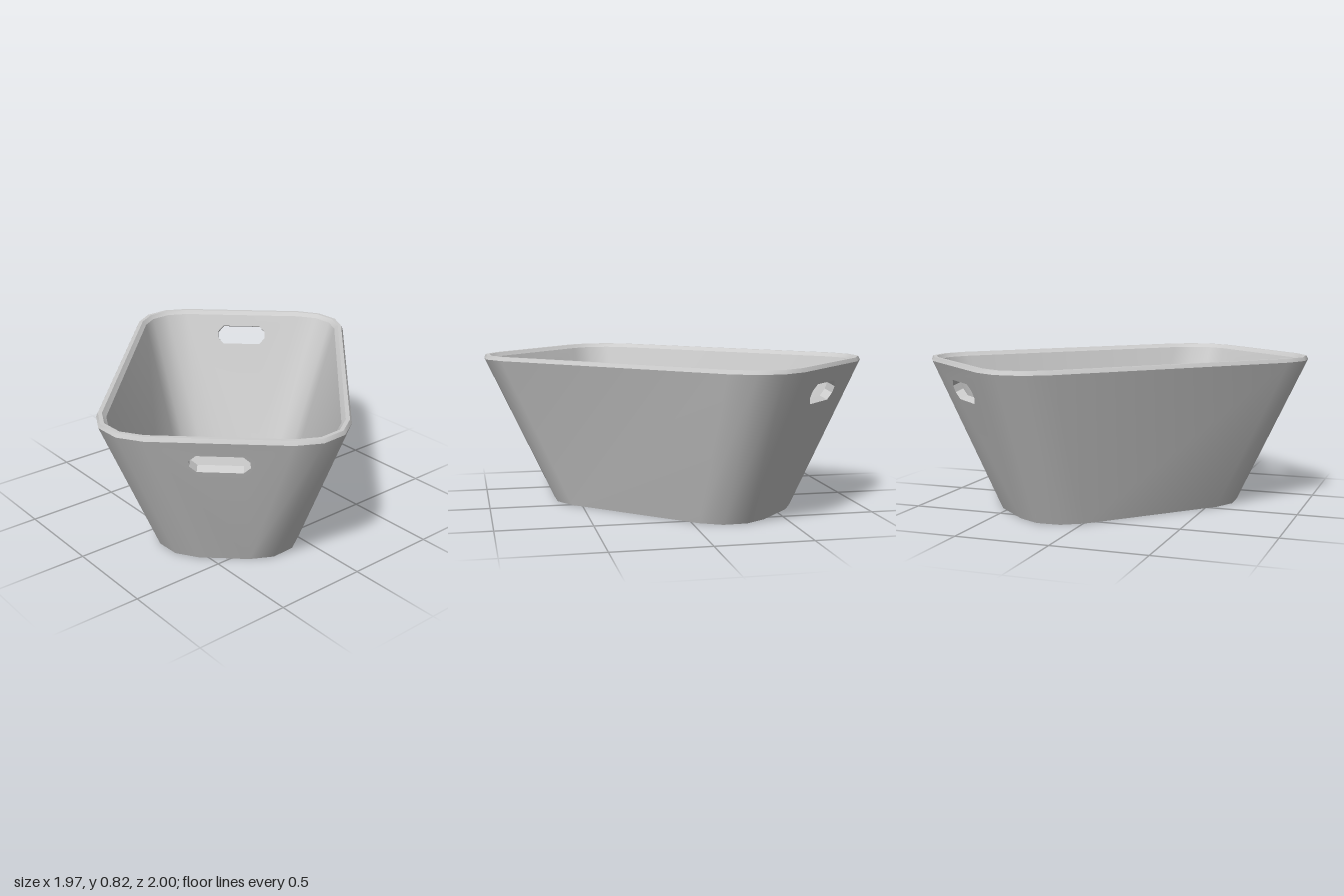
import * as THREE from 'three';
import { mergeGeometries, toCreasedNormals } from 'three/addons/utils/BufferGeometryUtils.js';

const SEG = 3; // facets per rounded corner
const N = 4 * (SEG + 1);

// Section levels: height, half length, half width, corner radius
const outerBase = [0, 0.65, 0.382, 0.25];
const outerTop = [0.80, 0.955, 0.617, 0.27];
const rimOuter = [0.82, 0.945, 0.607, 0.26];
const rimInner = [0.82, 0.925, 0.587, 0.24];
const innerTop = [0.80, 0.905, 0.567, 0.22];
const innerFloor = [0.03, 0.62, 0.352, 0.23];

// Rounded rectangle outline at one level
function outline([y, hx, hz, r]) {
  const pts = [];
  [[1, 1], [-1, 1], [-1, -1], [1, -1]].forEach(([sx, sz], k) => {
    for (let j = 0; j <= SEG; j++) {
      const a = (k + j / SEG) * Math.PI / 2;
      pts.push(new THREE.Vector3(sx * (hx - r) + r * Math.cos(a), y, sz * (hz - r) + r * Math.sin(a)));
    }
  });
  return pts;
}

function fromTriangles(points) {
  return new THREE.BufferGeometry().setFromPoints(points);
}

// Strip between two levels; open ends leave room for the handle panels
function band(low, high, openEnds = false) {
  const a = outline(low), b = outline(high), tris = [];
  for (let i = 0; i < N; i++) {
    if (openEnds && (i === N - 1 || i === N / 2 - 1)) continue;
    const n = (i + 1) % N;
    tris.push(a[i], b[i], a[n], a[n], b[i], b[n]);
  }
  return fromTriangles(tris);
}

function cap(level, up) {
  const p = outline(level), c = new THREE.Vector3(0, level[0], 0), tris = [];
  for (let i = 0; i < N; i++) {
    const n = (i + 1) % N;
    tris.push(c, p[up ? n : i], p[up ? i : n]);
  }
  return fromTriangles(tris);
}

// Handle slot with cut corners, listed counter-clockwise
function slot(y0) {
  const w = 0.145, h = 0.103, c = 0.034;
  return [[-w + c, 0], [w - c, 0], [w, c], [w, h - c], [w - c, h], [-w + c, h], [-w, h - c], [-w, c]]
    .map(([p, q]) => new THREE.Vector2(p, q + y0));
}

// Point on the sloping +x end wall between two levels
function onEnd(low, high, p, y, side) {
  const t = (y - low[0]) / (high[0] - low[0]);
  return new THREE.Vector3(low[1] + t * (high[1] - low[1]), y, -side * p);
}

// Flat end wall with the slot cut out; side 1 faces out, -1 faces in
function endPanel(low, high, hole, side) {
  const a = low[2] - low[3], b = high[2] - high[3];
  const shape = new THREE.Shape([[-a, low[0]], [a, low[0]], [b, high[0]], [-b, high[0]]]
    .map(([x, y]) => new THREE.Vector2(x, y)));
  shape.holes.push(new THREE.Path(hole));
  const g = new THREE.ShapeGeometry(shape).toNonIndexed();
  const pos = g.attributes.position, pts = [];
  for (let i = 0; i < pos.count; i++) pts.push(onEnd(low, high, pos.getX(i), pos.getY(i), side));
  return fromTriangles(pts);
}

// End wall: both skins and the slot lining, square to the slope
function endWall() {
  const ho = slot(0.616), hi = slot(0.634), lining = [];
  const O = ho.map(v => onEnd(outerBase, outerTop, v.x, v.y, 1));
  const I = hi.map(v => onEnd(innerFloor, innerTop, v.x, v.y, 1));
  O.forEach((o, i) => {
    const n = (i + 1) % O.length;
    lining.push(I[i], o, I[n], I[n], o, O[n]);
  });
  return mergeGeometries([
    endPanel(outerBase, outerTop, ho, 1),
    endPanel(innerFloor, innerTop, hi, -1),
    fromTriangles(lining),
  ]);
}

export function createModel() {
  const group = new THREE.Group();
  group.name = 'basket';
  const material = new THREE.MeshStandardMaterial({ color: 0xcccccc });
  const add = (name, geometry) => {
    const mesh = new THREE.Mesh(toCreasedNormals(geometry, 0.7), material);
    mesh.name = name;
    group.add(mesh);
  };

  // Tapered walls with a handle slot at each end
  const end = endWall();
  add('walls', mergeGeometries([
    band(outerBase, outerTop, true),
    band(innerTop, innerFloor, true),
    end,
    end.clone().rotateY(Math.PI),
  ]));

  // Bevelled lip
  add('rim', mergeGeometries([
    band(outerTop, rimOuter), band(rimOuter, rimInner), band(rimInner, innerTop),
  ]));

  // Floor inside and underside
  add('floor', cap(innerFloor, true));
  add('underside', cap(outerBase, false));

  // The basket sits diagonally
  group.rotation.y = 0.823;
  return group;
}
